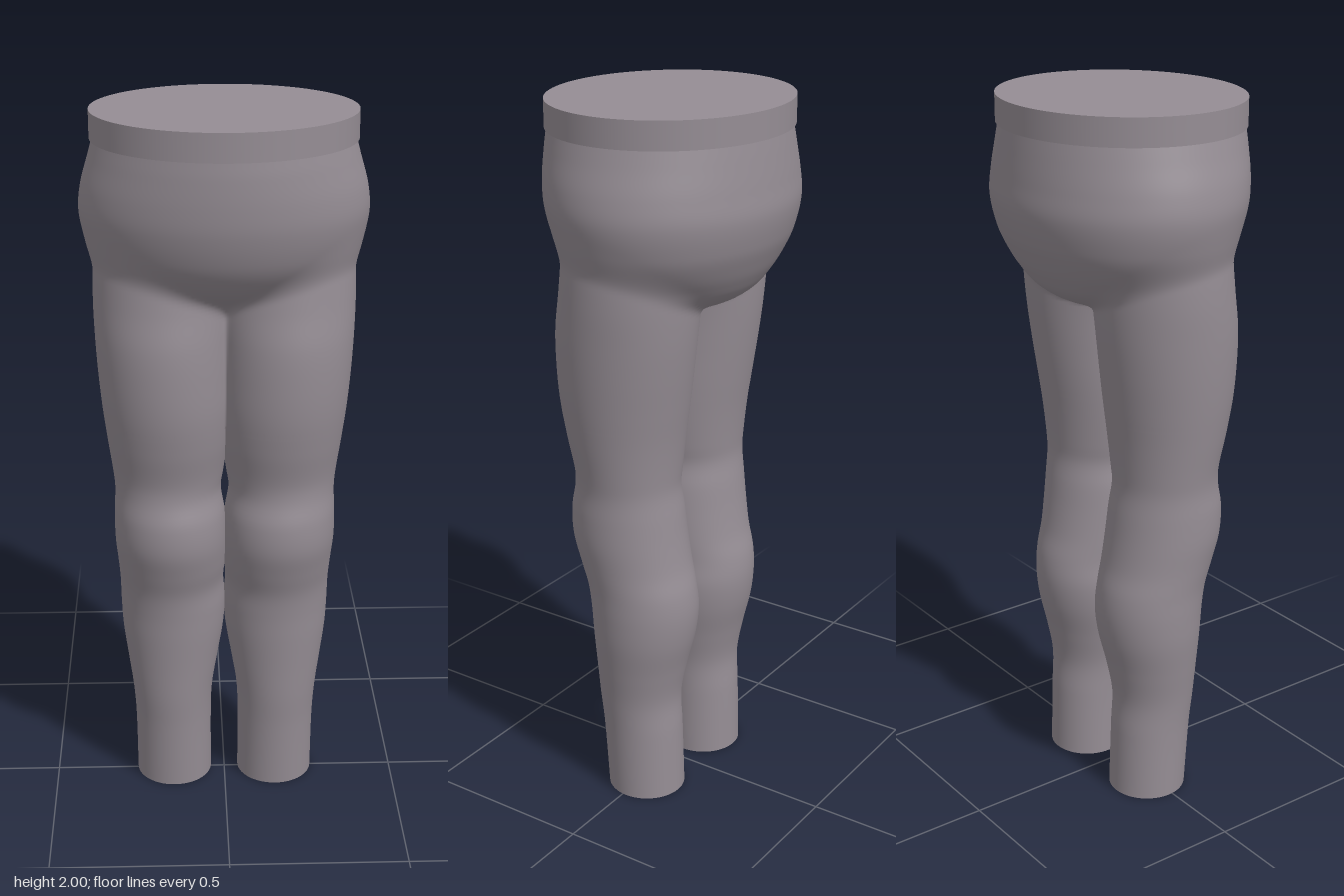
import * as THREE from 'three';

// Leg rows: height, outer x, inner x, front z, back z
const LEG = [
  [0, .26, .04, .10, -.121], [.2, .262, .04, .115, -.115], [.3, .268, .036, .125, -.11],
  [.4, .281, .02, .132, -.127], [.5, .294, .003, .14, -.151], [.58, .298, -.002, .146, -.16],
  [.65, .299, .003, .156, -.155], [.72, .303, -.002, .178, -.138], [.8, .309, -.004, .2, -.125],
  [.88, .309, 0, .201, -.115], [.95, .306, .011, .186, -.106], [1, .31, .004, .186, -.108],
  [1.1, .323, -.01, .208, -.118], [1.2, .335, -.018, .225, -.132], [1.3, .344, -.02, .231, -.146],
  [1.4, .35, -.022, .229, -.158], [1.5, .353, -.028, .215, -.166], [1.6, .35, -.03, .205, -.17],
  [1.7, .34, -.03, .2, -.17], [1.93, .28, -.03, .2, -.17],
];
// Hip rows: height, half width, front z, back z
const HIP = [
  [1.15, .01, .06, 0], [1.42, .012, .06, 0], [1.46, .13, .085, -.15], [1.5, .22, .145, -.222],
  [1.55, .29, .215, -.262], [1.6, .34, .26, -.288], [1.65, .367, .288, -.308],
  [1.73, .385, .312, -.324], [1.8, .379, .32, -.32], [1.88, .357, .321, -.312], [1.93, .343, .318, -.306],
];

// Smooth interpolation of a table of rows by height
function sample(rows, y) {
  let i = 0;
  while (i < rows.length - 2 && y > rows[i + 1][0]) i++;
  const a = rows[i], b = rows[i + 1], h = b[0] - a[0], t = (y - a[0]) / h;
  const p = rows[Math.max(i - 1, 0)], n = rows[Math.min(i + 2, rows.length - 1)];
  return a.slice(1).map((_, k) => {
    const c = k + 1;
    const m0 = (b[c] - p[c]) / (b[0] - p[0]) * h, m1 = (n[c] - a[c]) / (n[0] - a[0]) * h;
    const t2 = t * t, t3 = t2 * t;
    return (2 * t3 - 3 * t2 + 1) * a[c] + (t3 - 2 * t2 + t) * m0 + (3 * t2 - 2 * t3) * b[c] + (t3 - t2) * m1;
  });
}

function legEllipse(y) {
  const [o, i, f, b] = sample(LEG, y);
  return { x: (o + i) / 2, z: (f + b) / 2, a: (o - i) / 2, b: (f - b) / 2 };
}

// Far distance at which a ray from (0, oz) leaves an ellipse
function exitDistance(e, oz, dx, dz) {
  const ox = -e.x / e.a, pz = (oz - e.z) / e.b, ux = dx / e.a, uz = dz / e.b;
  const A = ux * ux + uz * uz, B = ox * ux + pz * uz, C = ox * ox + pz * pz - 1;
  const D = B * B - A * C;
  return D < 0 ? 0 : Math.max(0, (-B + Math.sqrt(D)) / A);
}

function smoothMax(a, b, k) {
  const h = Math.max(k - Math.abs(a - b), 0) / k;
  return Math.max(a, b) + h * h * k / 4;
}

// Closed-ring loft; ring(y, angle) returns [x, z]
function loft(y0, y1, rings, sides, ring) {
  const pos = [], index = [];
  for (let j = 0; j <= rings; j++) {
    const y = y0 + (y1 - y0) * j / rings;
    for (let i = 0; i < sides; i++) {
      const [x, z] = ring(y, i / sides * Math.PI * 2);
      pos.push(x, y, z);
      if (j === rings) continue;
      const a = j * sides + i, b = j * sides + (i + 1) % sides;
      index.push(a, b, b + sides, a, b + sides, a + sides);
    }
  }
  const g = new THREE.BufferGeometry();
  g.setAttribute('position', new THREE.Float32BufferAttribute(pos, 3));
  g.setIndex(index);
  g.computeVertexNormals();
  return g;
}

export function createModel() {
  const model = new THREE.Group();
  const fabric = new THREE.MeshStandardMaterial({ color: 0x958d94 });
  fabric.name = 'mauve grey';
  const add = (geometry, name, parent = model) => {
    const mesh = new THREE.Mesh(geometry, fabric);
    mesh.name = name;
    parent.add(mesh);
    return mesh;
  };

  // Legs with flat ankle ends
  for (const side of [1, -1]) {
    const leg = new THREE.Group();
    leg.name = side > 0 ? 'leftLeg' : 'rightLeg';
    model.add(leg);
    add(loft(0, 1.17, 78, 56, (y, t) => {
      const e = legEllipse(y);
      return [side * e.x + e.a * Math.cos(t), e.z - e.b * Math.sin(t)];
    }), 'legSurface', leg);
    const e = legEllipse(0);
    const end = add(new THREE.CircleGeometry(1, 56), 'ankleEnd', leg);
    end.rotation.x = Math.PI / 2;
    end.scale.set(e.a, e.b, 1);
    end.position.set(side * e.x, 0, e.z);
  }

  // Upper thighs blending into the hips
  add(loft(1.15, 1.93, 78, 144, (y, t) => {
    const leg = legEllipse(y), oz = leg.z;
    const [w, f, b] = sample(HIP, y);
    const hip = { x: 0, z: (f + b) / 2, a: w, b: (f - b) / 2 };
    const dx = Math.cos(t), dz = -Math.sin(t);
    const k = .002 + .04 * THREE.MathUtils.smoothstep(y, 1.15, 1.5);
    const thighs = smoothMax(exitDistance(leg, oz, dx, dz), exitDistance({ ...leg, x: -leg.x }, oz, dx, dz), k);
    const r = smoothMax(thighs, exitDistance(hip, oz, dx, dz), k);
    return [r * dx, oz + r * dz];
  }), 'hipsAndThighs');

  // Waistband
  const band = add(new THREE.CylinderGeometry(1, 1, .075, 96), 'waistband');
  band.scale.set(.352, 1, .318);
  band.position.set(0, 1.9625, .005);
  return model;
}
